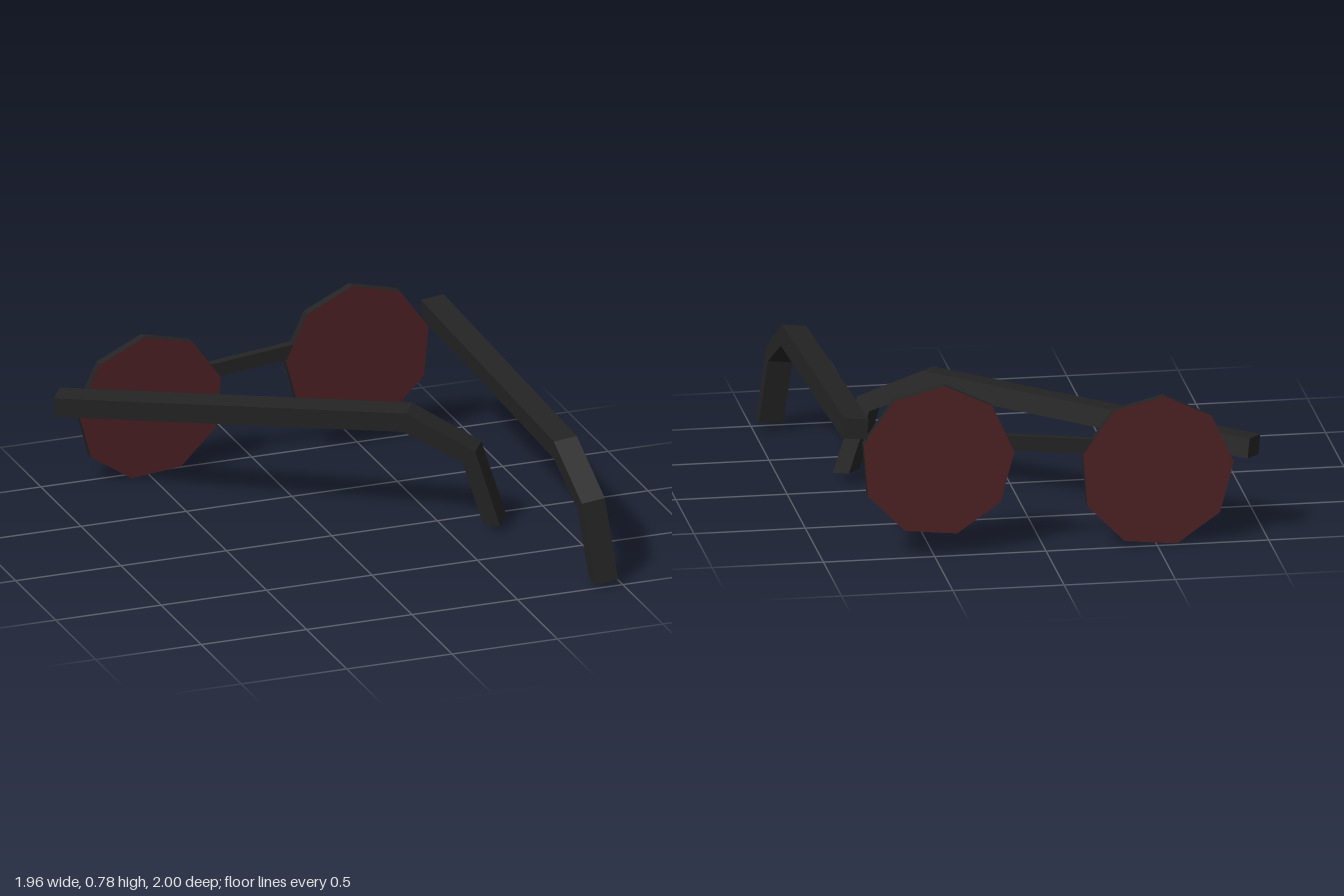
import * as THREE from 'three';

const frameBlack = new THREE.MeshStandardMaterial({ color: 0x232323 });
frameBlack.name = 'frameBlack';
const lensRed = new THREE.MeshStandardMaterial({ color: 0x4d2123 });
lensRed.name = 'lensRed';

// Temple arm: bent side profile (length, height) extruded across its width
function makeArm(name, x, y, z, yaw) {
  const width = 0.11;
  const profile = [
    [0, 0.046], [0, -0.046], [1.595, -0.046], [1.855, -0.186],
    [1.925, -0.486], [2.004, -0.497], [1.919, -0.13], [1.615, 0.046],
  ].map(([s, h]) => new THREE.Vector2(s, h));
  const geometry = new THREE.ExtrudeGeometry(new THREE.Shape(profile), { depth: width, bevelEnabled: false });
  geometry.translate(0, 0, -width / 2);
  geometry.rotateY(-Math.PI / 2);
  const arm = new THREE.Mesh(geometry, frameBlack);
  arm.name = name;
  arm.position.set(x, y, z);
  arm.rotation.y = yaw;
  return arm;
}

// Nine-sided lens disc: dark rim, tinted faces
function makeLens(name, x) {
  const geometry = new THREE.CylinderGeometry(0.346, 0.346, 0.04, 9).toNonIndexed();
  geometry.rotateX(-Math.PI / 2);
  geometry.computeVertexNormals();
  const lens = new THREE.Mesh(geometry, [frameBlack, lensRed, lensRed]);
  lens.name = name;
  lens.position.x = x;
  return lens;
}

export function createModel() {
  const model = new THREE.Group();
  model.name = 'sunglasses';

  // The glasses rest tilted on a lens rim and the arm tips
  const glasses = new THREE.Group();
  glasses.name = 'glasses';
  glasses.position.set(-0.01, 0.385, -0.959);
  glasses.rotation.set(0.045, 0.011, 0.1);
  model.add(glasses);

  glasses.add(makeLens('leftLens', 0.496), makeLens('rightLens', -0.496));

  const bridge = new THREE.Mesh(new THREE.BoxGeometry(0.39, 0.066, 0.037), frameBlack);
  bridge.name = 'bridge';
  bridge.position.y = 0.1;
  glasses.add(bridge);

  // One arm open, the other half folded inward
  glasses.add(makeArm('openArm', 0.88, 0.132, -0.021, 0));
  glasses.add(makeArm('foldedArm', -0.926, 0.128, 0.008, 0.95));

  return model;
}
